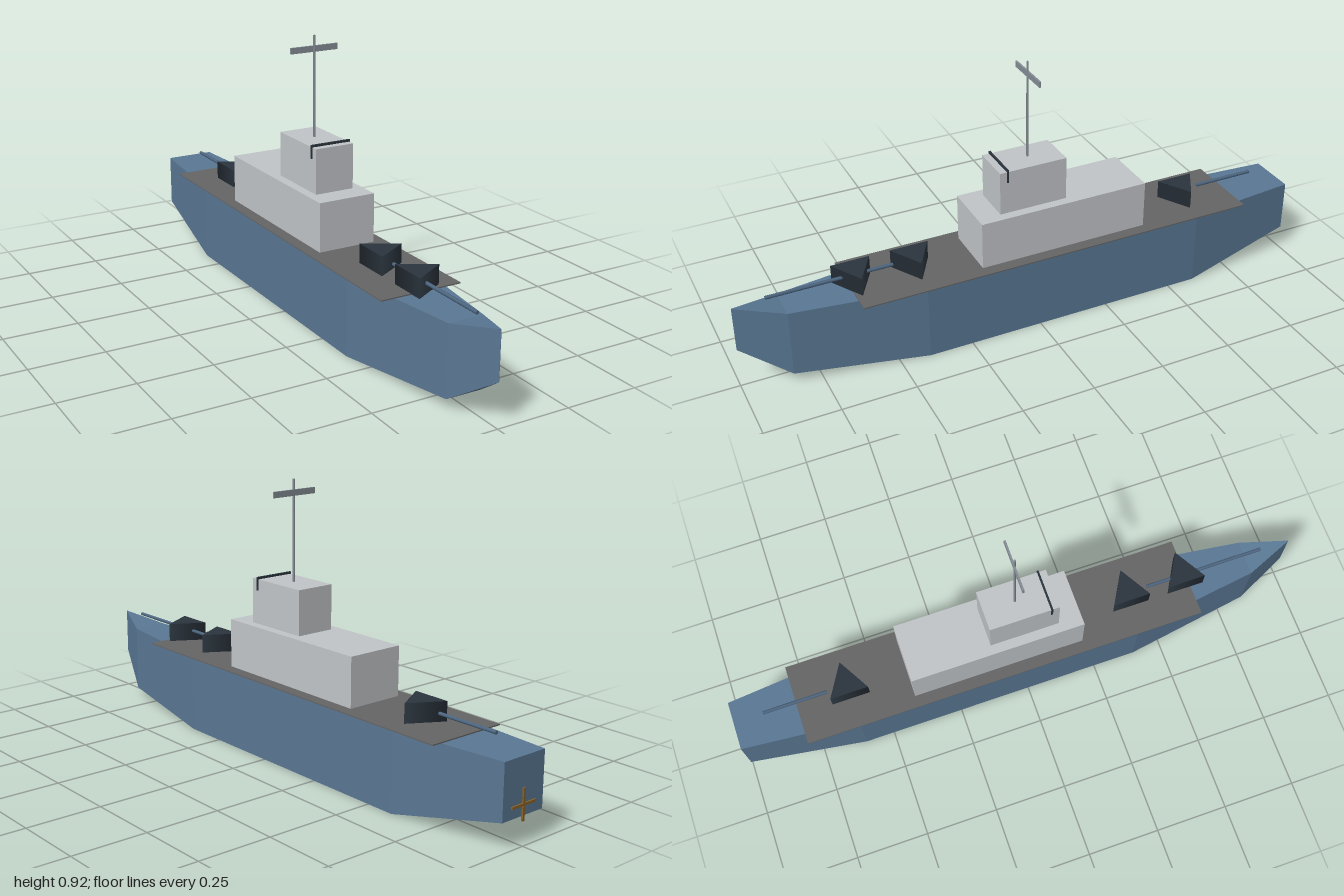
import * as THREE from 'three';

const paint = (name, color) => {
  const m = new THREE.MeshStandardMaterial({ color });
  m.name = name;
  return m;
};

// Hull skin lofted through rectangular sections, bow to stern
function hullGeometry() {
  const sections = [ // z, half width, keel height, deck height
    [0.997, 0.0005, 0.14, 0.297],
    [0.84, 0.06, 0.035, 0.267],
    [0.4, 0.12, 0, 0.265],
    [-0.6, 0.12, 0, 0.265],
    [-0.995, 0.084, 0.09, 0.268],
  ];
  const rings = sections.map(([z, w, y0, y1]) =>
    [[-w, y0, z], [w, y0, z], [w, y1, z], [-w, y1, z]]);
  const pos = [];
  const quad = (a, b, c, d) => pos.push(...a, ...b, ...c, ...a, ...c, ...d);
  for (let i = 0; i < rings.length - 1; i++) {
    const a = rings[i], b = rings[i + 1];
    for (let j = 0; j < 4; j++) {
      const k = (j + 1) % 4;
      quad(a[j], b[j], b[k], a[k]);
    }
  }
  const bow = rings[0], stern = rings[rings.length - 1];
  quad(bow[0], bow[1], bow[2], bow[3]);
  quad(stern[0], stern[3], stern[2], stern[1]);
  const g = new THREE.BufferGeometry();
  g.setAttribute('position', new THREE.Float32BufferAttribute(pos, 3));
  g.computeVertexNormals();
  return g;
}

export function createModel() {
  const ship = new THREE.Group();
  ship.name = 'warship';

  const hullBlue = paint('hull blue', 0x5a7894);
  const deckGrey = paint('deck grey', 0x666666);
  const paleGrey = paint('pale grey', 0xc2c6c9);
  const gunDark = paint('gun dark', 0x2b353e);
  const barrelBlue = paint('barrel steel', 0x4d6680);
  const mastGrey = paint('mast grey', 0x868e96);
  const bronze = paint('bronze', 0x8a6428);

  const add = (name, geometry, material, x, y, z, parent = ship) => {
    const m = new THREE.Mesh(geometry, material);
    m.name = name;
    m.position.set(x, y, z);
    parent.add(m);
    return m;
  };
  const box = (w, h, d) => new THREE.BoxGeometry(w, h, d);

  // Hull and deck
  add('hull', hullGeometry(), hullBlue, 0, 0, 0);
  add('deck', box(0.28, 0.004, 1.4), deckGrey, 0, 0.269, -0.08);

  // Superstructure
  add('superstructure', box(0.2, 0.164, 0.596), paleGrey, 0, 0.353, -0.098);
  add('bridge', box(0.136, 0.15, 0.236), paleGrey, 0, 0.51, 0.003);
  add('bridgeWindow', box(0.142, 0.045, 0.006), gunDark, 0, 0.57, 0.094);

  // Mast and radar bar
  add('mast', new THREE.CylinderGeometry(0.004, 0.004, 0.335, 8), mastGrey, 0, 0.7525, -0.008);
  add('radar', box(0.17, 0.02, 0.006), mastGrey, 0, 0.876, -0.01);

  // Three-sided gun turrets, each with a barrel set ahead of it
  const turretGeo = new THREE.CylinderGeometry(0.075, 0.075, 0.064, 3).rotateY(Math.PI / 2);
  const barrelGeo = new THREE.CylinderGeometry(0.006, 0.006, 0.22, 8).rotateX(Math.PI / 2);
  for (const [z, dir] of [[0.6, 1], [0.4, 1], [-0.6, -1]]) {
    const gun = new THREE.Group();
    gun.name = 'gunTurret';
    gun.position.set(0, 0.302, z);
    ship.add(gun);
    add('turret', turretGeo, gunDark, 0, 0, 0, gun);
    add('barrel', barrelGeo, barrelBlue, 0, 0.003, dir * 0.18, gun);
  }

  // Crossed propeller blades on the stern
  const propeller = new THREE.Group();
  propeller.name = 'propeller';
  propeller.position.set(0, 0.125, -0.997);
  ship.add(propeller);
  add('verticalBlade', box(0.008, 0.1, 0.006), bronze, 0, 0, 0, propeller);
  add('horizontalBlade', box(0.1, 0.008, 0.006), bronze, 0, 0, 0, propeller);

  return ship;
}
